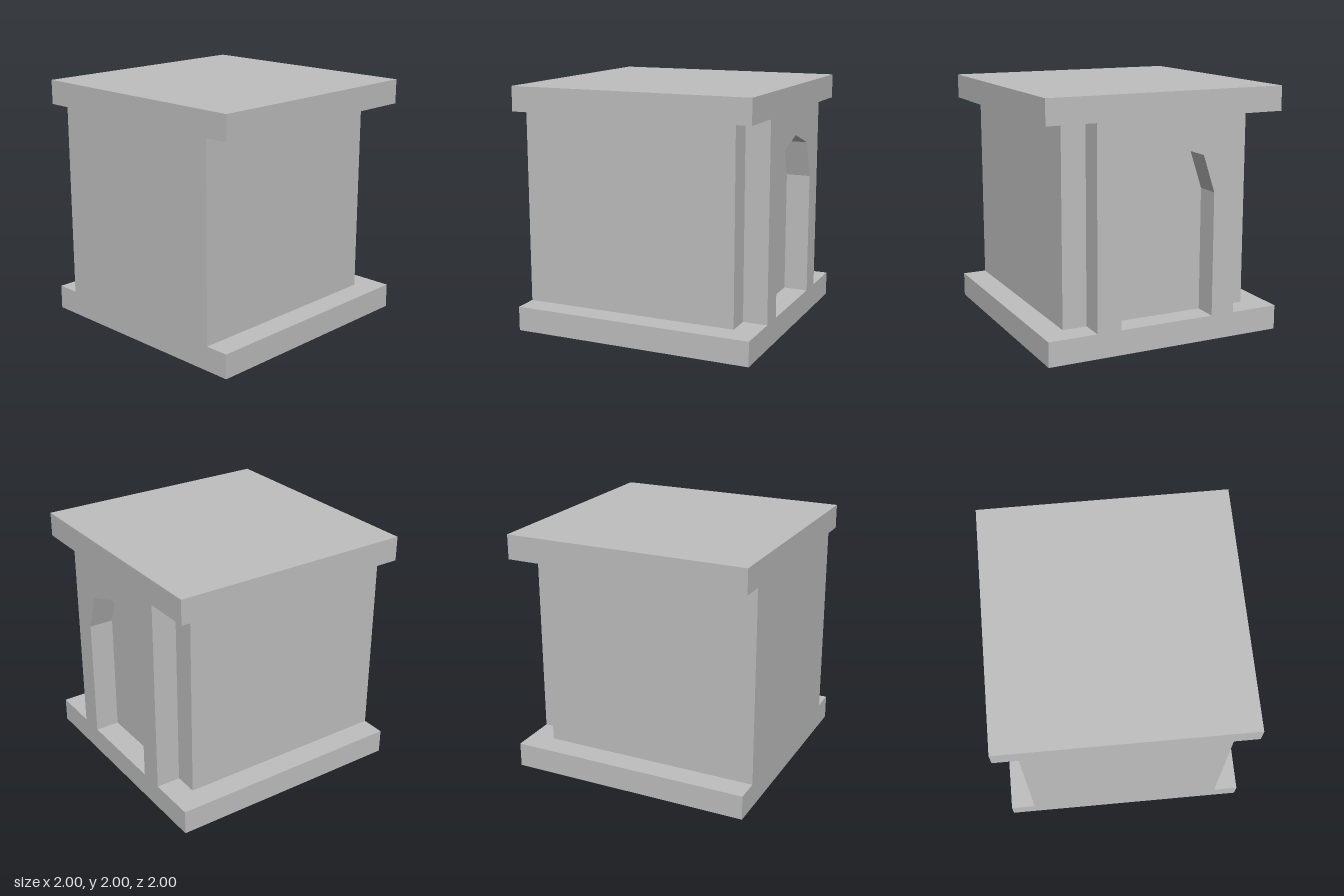
import * as THREE from 'three';

export function createModel() {
  const group = new THREE.Group();
  const stone = new THREE.MeshStandardMaterial({ color: 0xbfbfbf });
  stone.name = 'grey stone';

  const add = (name, geometry, x, y, z) => {
    const mesh = new THREE.Mesh(geometry, stone);
    mesh.name = name;
    mesh.position.set(x, y, z);
    group.add(mesh);
  };

  // Square slabs below and above the walls
  add('floorSlab', new THREE.BoxGeometry(2, 0.2, 2), 0, 0.1, 0);
  add('roofSlab', new THREE.BoxGeometry(2, 0.2, 2), 0, 1.9, 0);

  // Solid body, flush with the slabs on the right-hand (-x) side
  add('wallBlock', new THREE.BoxGeometry(1.8, 1.6, 1.6), -0.1, 1, 0);

  // Narrower end panel with a pointed doorway open down to the floor slab
  const panel = new THREE.Shape([
    [-0.6, 0.2], [-0.4, 0.2], [-0.4, 1.2], [-0.3, 1.5], [0, 1.6],
    [0.3, 1.5], [0.4, 1.2], [0.4, 0.2], [0.6, 0.2], [0.6, 1.8], [-0.6, 1.8],
  ].map(([x, y]) => new THREE.Vector2(x, y)));
  const panelGeometry = new THREE.ExtrudeGeometry(panel, { depth: 0.2, bevelEnabled: false });
  panelGeometry.rotateY(Math.PI / 2);
  add('archedDoorPanel', panelGeometry, 0.8, 0, 0);

  return group;
}
